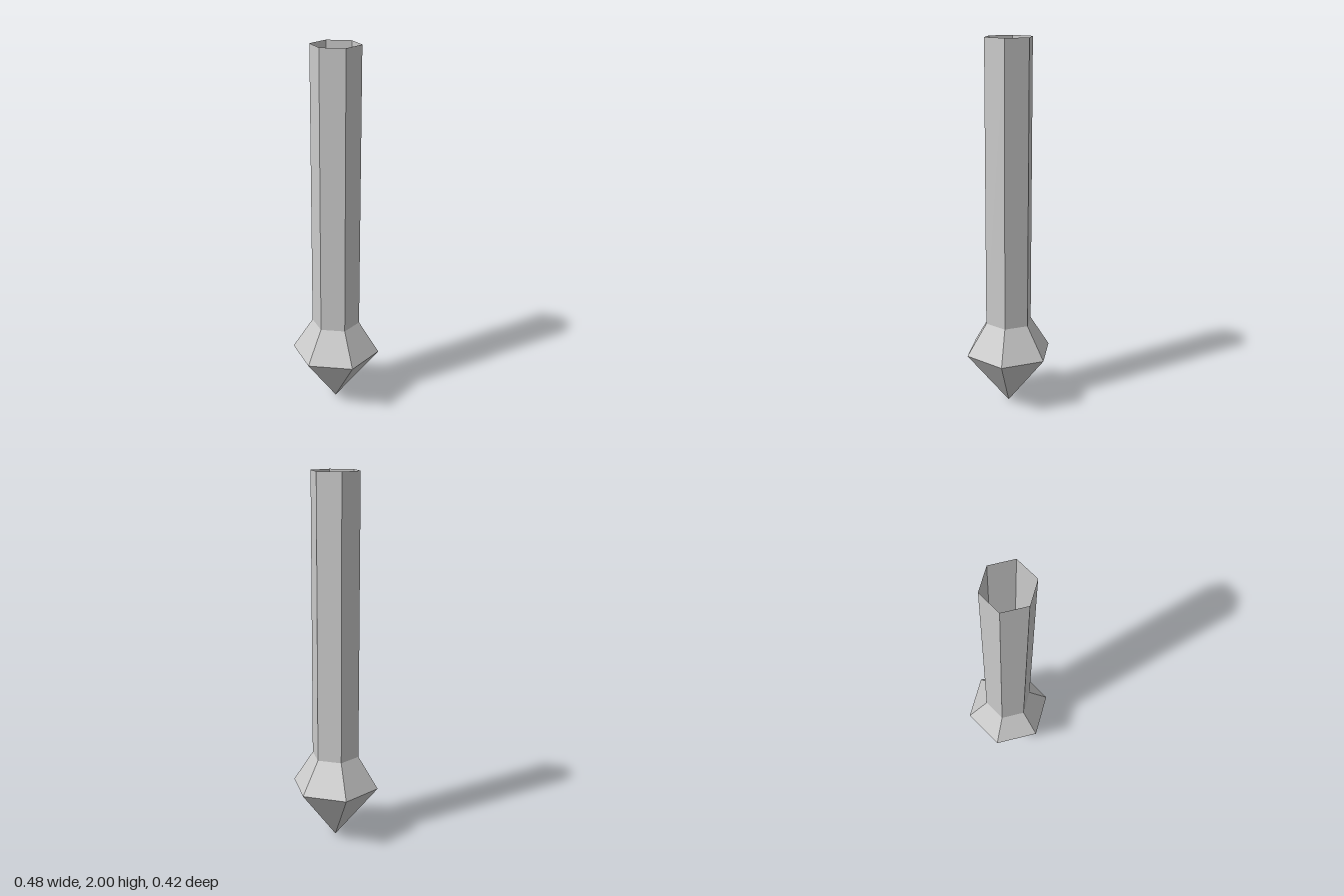
import * as THREE from 'three';

const SIDES = 6;

export function createModel() {
  const group = new THREE.Group();
  group.name = 'pointedStake';
  const material = new THREE.MeshStandardMaterial({
    color: 0xcccccc, flatShading: true, side: THREE.DoubleSide,
  });

  // Open six-sided section with corners on the x axis
  function addSection(name, bottomRadius, topRadius, bottomY, topY) {
    const height = topY - bottomY;
    const geometry = new THREE.CylinderGeometry(
      topRadius, bottomRadius, height, SIDES, 1, true, Math.PI / 2);
    geometry.translate(0, bottomY + height / 2, 0);
    const mesh = new THREE.Mesh(geometry, material);
    mesh.name = name;
    group.add(mesh);
  }

  addSection('tip', 0, 0.24, 0, 0.305);
  addSection('collar', 0.24, 0.13, 0.305, 0.48);
  // Hollow shaft, open at the top
  addSection('shaft', 0.13, 0.13, 0.48, 2);

  return group;
}
